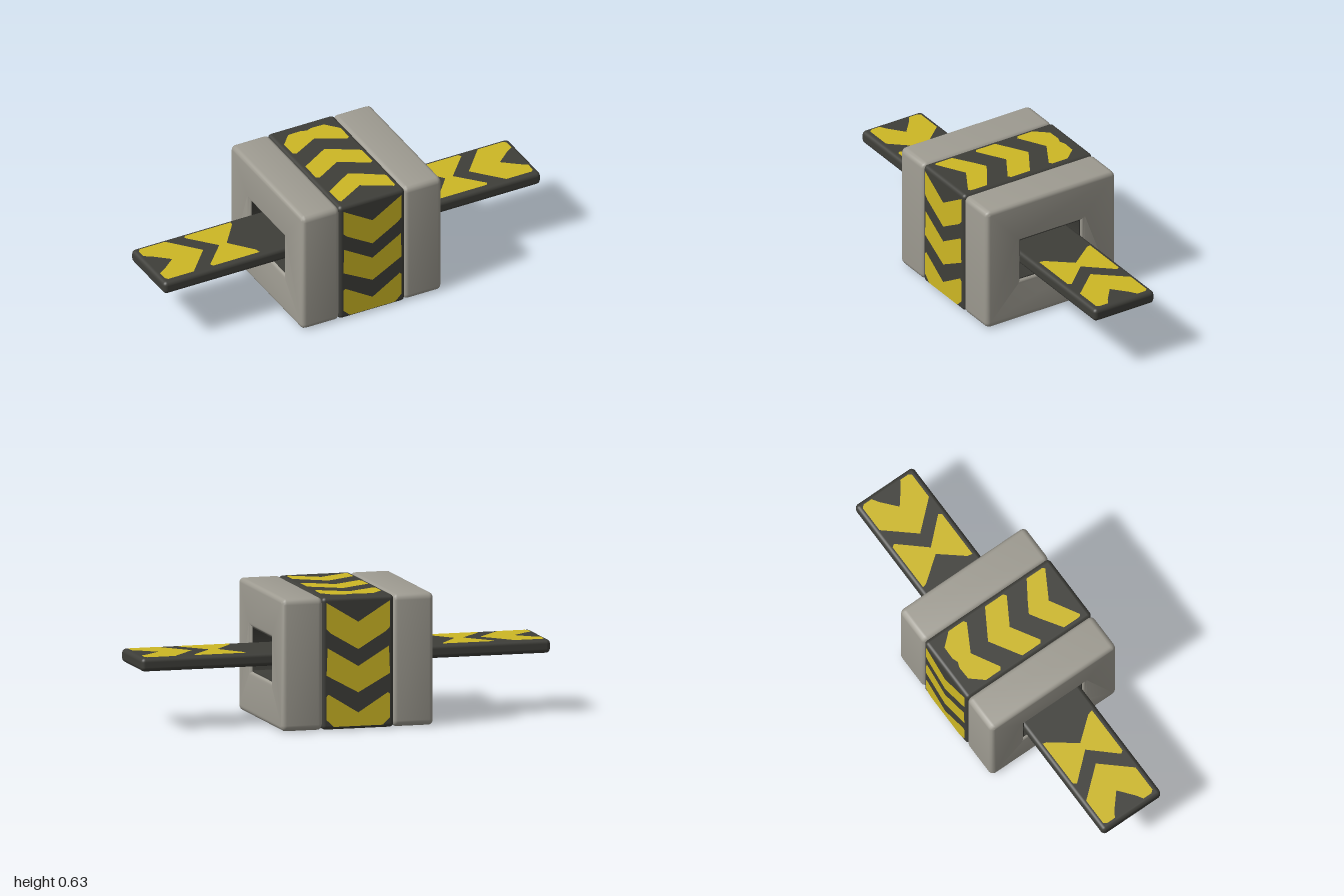
import * as THREE from 'three';
import { toCreasedNormals } from 'three/addons/utils/BufferGeometryUtils.js';
import { RoundedBoxGeometry } from 'three/addons/geometries/RoundedBoxGeometry.js';

const mat = (name, color) => Object.assign(new THREE.MeshStandardMaterial({ color }), { name });
const grey = mat('warm grey', 0x9f9c92);
const dark = mat('charcoal', 0x3e3e39);
const yellow = mat('hazard yellow', 0xcdb724);

const MID = 0.316; // height of the block centre

function mesh(name, geometry, material, parent) {
  const m = new THREE.Mesh(geometry, material);
  m.name = name;
  parent.add(m);
  return m;
}

// rectangle with slightly rounded corners, centred on the origin
function roundRect(Type, w, h, r) {
  const s = new Type(), x = w / 2, y = h / 2;
  s.moveTo(-x + r, -y);
  s.lineTo(x - r, -y).quadraticCurveTo(x, -y, x, -y + r);
  s.lineTo(x, y - r).quadraticCurveTo(x, y, x - r, y);
  s.lineTo(-x + r, y).quadraticCurveTo(-x, y, -x, y - r);
  s.lineTo(-x, -y + r).quadraticCurveTo(-x, -y, -x + r, -y);
  return s;
}

// extruded frame whose opening runs along x, between x0 and x1
function frame(w, h, holeW, holeH, x0, x1, bevel) {
  const s = roundRect(THREE.Shape, w - 2 * bevel, h - 2 * bevel, 0.008);
  s.holes.push(roundRect(THREE.Path, holeW + 2 * bevel, holeH + 2 * bevel, 0.004));
  const g = new THREE.ExtrudeGeometry(s, {
    depth: x1 - x0 - 2 * bevel, bevelEnabled: bevel > 0, bevelSize: bevel,
    bevelThickness: bevel, bevelSegments: 4, curveSegments: 4,
  });
  g.translate(0, 0, x0 + bevel).rotateY(Math.PI / 2).translate(0, MID, 0);
  return toCreasedNormals(g, 0.7);
}

// points for the +u half, mirrored across u = 0
function mirrored(half) {
  const other = half.map(([u, v]) => [-u, v]).reverse();
  return new THREE.Shape([...half, ...other].map(p => new THREE.Vector2(...p)));
}

// flat painted marks, shown on one face
function marks(name, shapes, parent, pos, rx = 0, ry = 0) {
  const m = mesh(name, new THREE.ShapeGeometry(shapes), yellow, parent);
  m.position.set(...pos);
  m.rotation.set(rx, ry, 0);
}

export function createModel() {
  const model = new THREE.Group();
  model.name = 'slottedBlock';

  // dark middle band
  const band = new THREE.Group();
  band.name = 'middleBand';
  model.add(band);
  mesh('bandBody', new RoundedBoxGeometry(0.352, 0.628, 0.72, 4, 0.02), dark, band)
    .position.y = MID;

  // chevrons pointing down on the front and back
  const sideMarks = [
    [[0, 0.51], [0.155, 0.605], [0.155, 0.48], [0.135, 0.46], [0, 0.38]],
    [[0, 0.30], [0.15, 0.39], [0.155, 0.26], [0, 0.175]],
    [[0, 0.08], [0.145, 0.17], [0.155, 0.16], [0.155, 0.05], [0.12, 0.016], [0, 0.016]],
  ].map(mirrored);
  marks('frontChevrons', sideMarks, band, [0, 0, 0.3625]);
  marks('backChevrons', sideMarks, band, [0, 0, -0.3625], 0, Math.PI);

  // chevrons running backwards on top and forwards underneath
  const topMarks = [
    [[0, 0.29], [0.03, 0.3], [0.095, 0.298], [0.15, 0.235], [0.15, 0.15], [0.135, 0.14], [0, 0.215]],
    [[0, 0.115], [0.15, 0.025], [0.15, -0.08], [0.135, -0.09], [0, -0.01]],
    [[0, -0.12], [0.05, -0.15], [0.15, -0.215], [0.15, -0.305], [0.14, -0.315], [0, -0.235]],
  ].map(mirrored);
  marks('topChevrons', topMarks, band, [0, MID + 0.316, 0], -Math.PI / 2);
  marks('bottomChevrons', topMarks, band, [0, MID - 0.316, 0], Math.PI / 2);

  // grey end blocks with a dark-lined opening
  for (const [side, s] of [['left', 1], ['right', -1]]) {
    const [a, b] = s > 0 ? [0.172, 0.37] : [-0.37, -0.172];
    const [c, d] = s > 0 ? [0.172, 0.357] : [-0.357, -0.172];
    mesh(side + 'EndBlock', frame(0.722, 0.628, 0.335, 0.21, a, b, 0.022), grey, model);
    mesh(side + 'OpeningLining', frame(0.345, 0.22, 0.33, 0.205, c, d, 0), dark, model);
  }

  // flat bar passing through the block
  const bar = new THREE.Group();
  bar.name = 'throughBar';
  model.add(bar);
  bar.position.y = 0.318;
  mesh('barBody', new RoundedBoxGeometry(2, 0.064, 0.336, 4, 0.02), dark, bar);

  // waisted mark and inward chevron on each end of the bar
  const ends = [];
  for (const s of [1, -1]) {
    ends.push(
      [[0.48, 0.145], [0.725, 0.145], [0.735, 0.13], [0.62, 0], [0.735, -0.125], [0.725, -0.14],
        [0.48, -0.14], [0.485, -0.115], [0.58, 0], [0.485, 0.125]],
      [[0.83, 0.145], [0.965, 0.145], [0.977, 0.13], [0.977, 0.085], [0.945, 0.065], [0.87, 0],
        [0.945, -0.06], [0.977, -0.08], [0.977, -0.125], [0.965, -0.14], [0.83, -0.14], [0.705, 0]],
    );
    for (let i = ends.length - 2; i < ends.length; i++)
      ends[i] = new THREE.Shape(ends[i].map(([u, v]) => new THREE.Vector2(s * u, v)));
  }
  marks('barTopMarks', ends, bar, [0, 0.034, 0], -Math.PI / 2);
  marks('barBottomMarks', ends, bar, [0, -0.034, 0], Math.PI / 2);

  return model;
}
